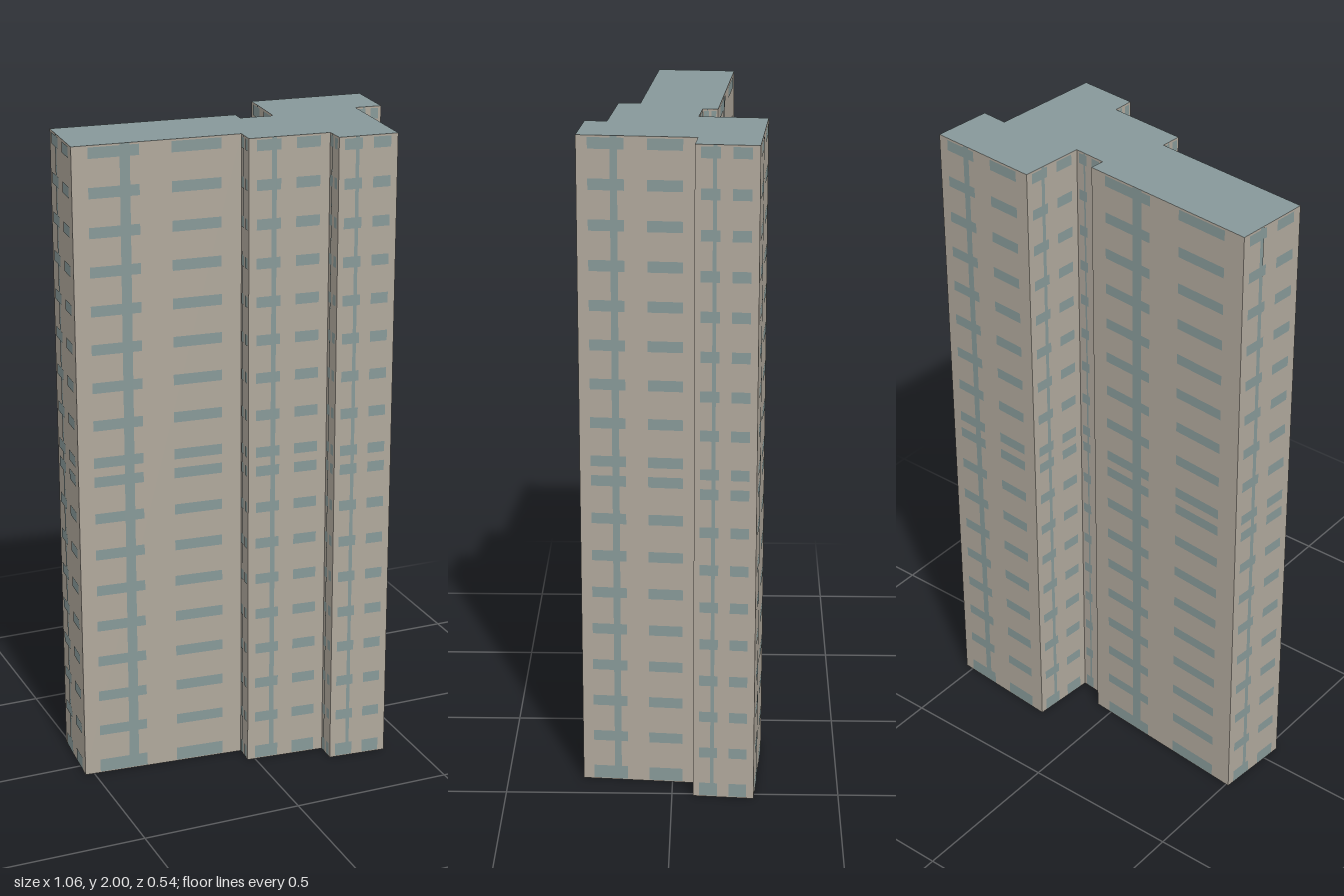
import * as THREE from 'three';
import { mergeGeometries } from 'three/addons/utils/BufferGeometryUtils.js';

const HEIGHT = 2;

// Footprint corners [x, z], running left to right as seen from outside each wall
const FOOTPRINT = [
  [-0.528, 0.061], [-0.02, 0.103], [-0.024, 0.168], [0.223, 0.19],
  [0.221, 0.255], [0.402, 0.271], [0.43, -0.072], [0.512, -0.064],
  [0.527, -0.245], [0.175, -0.272], [0.158, -0.071], [0.055, -0.081],
  [0.059, -0.126], [-0.509, -0.174],
];

// Upright rectangle in a wall's own plane, raised slightly off the wall
function panel(x0, x1, y0, y1, lift) {
  return new THREE.PlaneGeometry(x1 - x0, y1 - y0)
    .translate((x0 + x1) / 2, (y0 + y1) / 2, lift);
}

export function createModel() {
  const wallMat = new THREE.MeshStandardMaterial({ color: 0xb0a89c, side: THREE.DoubleSide });
  wallMat.name = 'beige wall';
  const roofMat = new THREE.MeshStandardMaterial({ color: 0x87989a, side: THREE.DoubleSide });
  roofMat.name = 'grey-blue roof';
  const glassMat = new THREE.MeshStandardMaterial({ color: 0x879998 });
  glassMat.name = 'grey-blue window';

  const model = new THREE.Group();
  model.name = 'towerBlock';

  // Window rows: two stacked sets of nine storeys
  const rows = [];
  for (const first of [0.029, 1.034]) {
    for (let i = 0; i < 9; i++) {
      const y = first + i * 0.118;
      const low = first < 1 && i === 0;
      rows.push(low ? [0.004, 0.046] : [y - 0.0165, y + 0.0165]);
    }
  }

  // One wall with its windows and stair strip per footprint edge
  FOOTPRINT.forEach(([ax, az], i) => {
    const [bx, bz] = FOOTPRINT[(i + 1) % FOOTPRINT.length];
    const w = Math.hypot(bx - ax, bz - az);
    const facade = new THREE.Group();
    facade.name = 'facade' + (i + 1);
    facade.position.set(ax, 0, az);
    facade.rotation.y = Math.atan2(az - bz, bx - ax);

    const wall = new THREE.Mesh(panel(0, w, 0, HEIGHT, 0), wallMat);
    wall.name = 'wall';

    const panes = [];
    for (const [y0, y1] of rows) {
      panes.push(panel(0.095 * w, 0.395 * w, y0, y1, 0.0015));
      panes.push(panel(0.585 * w, 0.88 * w, y0, y1, 0.0015));
    }
    const windows = new THREE.Mesh(mergeGeometries(panes), glassMat);
    windows.name = 'windows';

    const strip = new THREE.Mesh(panel(0.28 * w, 0.34 * w, 0.004, HEIGHT, 0.002), glassMat);
    strip.name = 'stairStrip';

    facade.add(wall, windows, strip);
    model.add(facade);
  });

  // Flat roof; the underside is open
  const outline = new THREE.Shape(FOOTPRINT.map(([x, z]) => new THREE.Vector2(x, -z)));
  const roof = new THREE.Mesh(new THREE.ShapeGeometry(outline).rotateX(-Math.PI / 2), roofMat);
  roof.name = 'roof';
  roof.position.y = HEIGHT;
  model.add(roof);

  return model;
}
